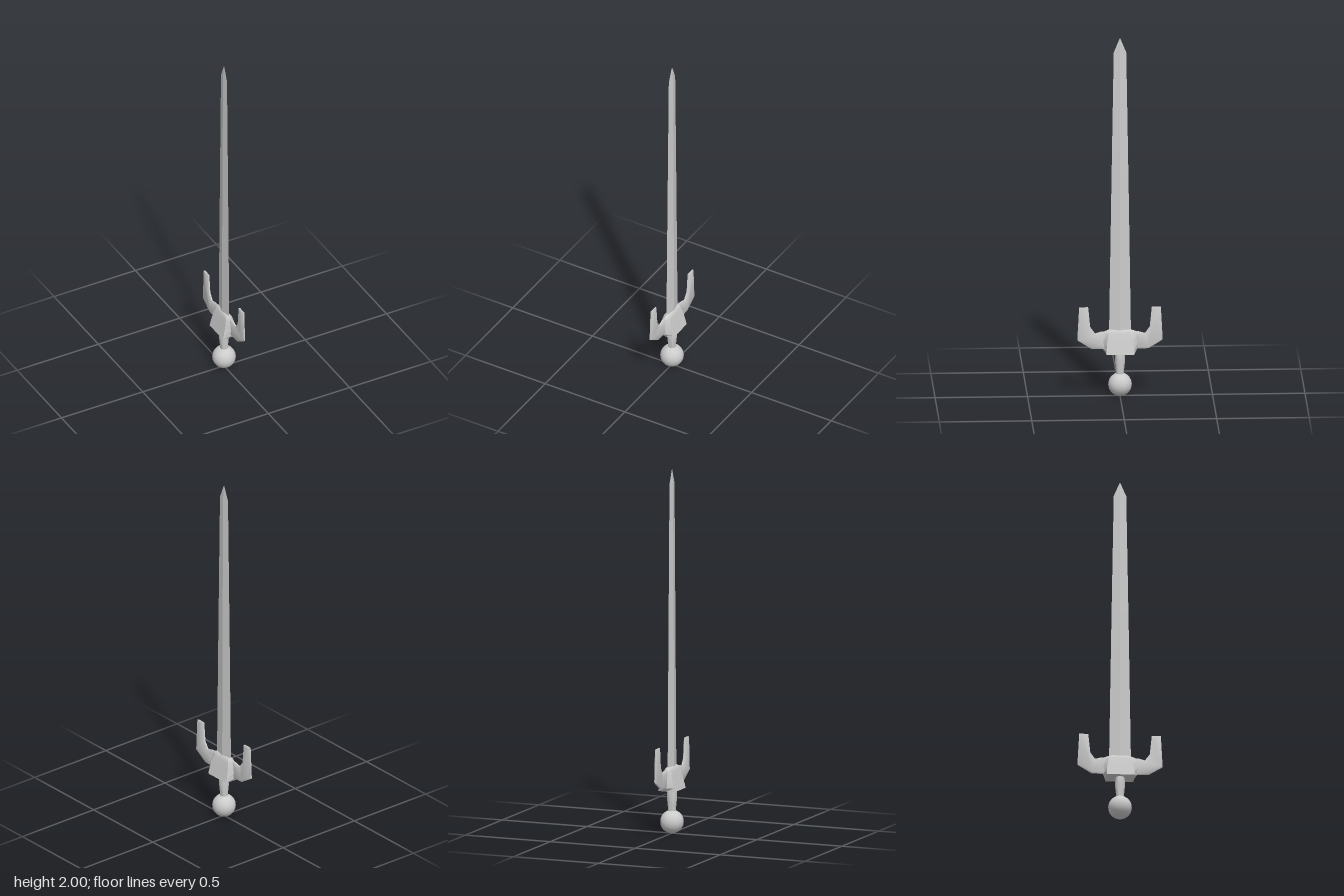
import * as THREE from 'three';
import { toCreasedNormals } from 'three/addons/utils/BufferGeometryUtils.js';

const metal = new THREE.MeshStandardMaterial({ color: 0xcccccc });

function part(name, geometry, crease = 0.5) {
  const mesh = new THREE.Mesh(toCreasedNormals(geometry, crease), metal);
  mesh.name = name;
  return mesh;
}

// Skins a stack of rings (equal point counts, each point [x, y, z]) and caps both ends.
function loft(rings) {
  const n = rings[0].length;
  const positions = rings.flat(2);
  const index = [];
  for (let r = 0; r < rings.length - 1; r++) {
    for (let i = 0; i < n; i++) {
      const a = r * n + i, b = r * n + (i + 1) % n;
      index.push(a, a + n, b, b, a + n, b + n);
    }
  }
  const top = (rings.length - 1) * n;
  for (let i = 1; i < n - 1; i++) {
    index.push(0, i, i + 1, top, top + i + 1, top + i);
  }
  const geometry = new THREE.BufferGeometry();
  geometry.setAttribute('position', new THREE.Float32BufferAttribute(positions, 3));
  geometry.setIndex(index);
  geometry.computeVertexNormals();
  return geometry;
}

export function createModel() {
  const sword = new THREE.Group();
  sword.name = 'sword';

  // Blade: flat diamond section tapering to a short point [y, half thickness, half width]
  const blade = [
    [0.3, 0.013, 0.06], [1.15, 0.01, 0.047], [1.92, 0.006, 0.034], [2, 0.0005, 0.001],
  ].map(([y, x, z]) => [[x, y, 0], [0, y, z], [-x, y, 0], [0, y, -z]]);
  sword.add(part('blade', loft(blade), 0.25));

  // Guard centre: six-sided block, wide below [y, half thickness, corner z, end z]
  const block = [
    [0.24, 0.048, 0.075, 0.078], [0.26, 0.043, 0.075, 0.092], [0.31, 0.031, 0.07, 0.1],
    [0.35, 0.021, 0.06, 0.097], [0.362, 0.017, 0.055, 0.082], [0.37, 0.01, 0.045, 0.06],
  ].map(([y, x, c, e]) => [
    [x, y, -c], [x, y, c], [0, y, e], [-x, y, c], [-x, y, -c], [0, y, -e],
  ]);
  sword.add(part('guardBlock', loft(block)));

  // Guard arms: bevelled hooks turning up beside the blade
  const outline = [
    [0.05, 0.26], [0.155, 0.264], [0.231, 0.312], [0.221, 0.495], [0.172, 0.495],
    [0.161, 0.385], [0.135, 0.348], [0.1, 0.358], [0.05, 0.36],
  ];
  for (const side of [1, -1]) {
    const shape = new THREE.Shape(outline.map(([z, y]) => new THREE.Vector2(side * z, y)));
    const arm = new THREE.ExtrudeGeometry(shape, {
      depth: 0.008, bevelThickness: 0.005, bevelSize: 0.01, bevelOffset: -0.01, bevelSegments: 1,
    });
    arm.translate(0, 0, -0.004).rotateY(-Math.PI / 2);
    sword.add(part(side > 0 ? 'frontArm' : 'backArm', arm, 0.8));
  }

  // Grip: slim handle swelling in the middle
  const profile = [[0.021, 0.11], [0.023, 0.15], [0.028, 0.2], [0.026, 0.23], [0.023, 0.26]];
  const grip = new THREE.LatheGeometry(profile.map(([r, y]) => new THREE.Vector2(r, y)), 16);
  sword.add(part('grip', grip, 0.8));

  // Pommel ball
  const pommel = new THREE.SphereGeometry(0.064, 24, 16);
  pommel.translate(0, 0.064, 0);
  sword.add(part('pommel', pommel, 0.8));

  return sword;
}
